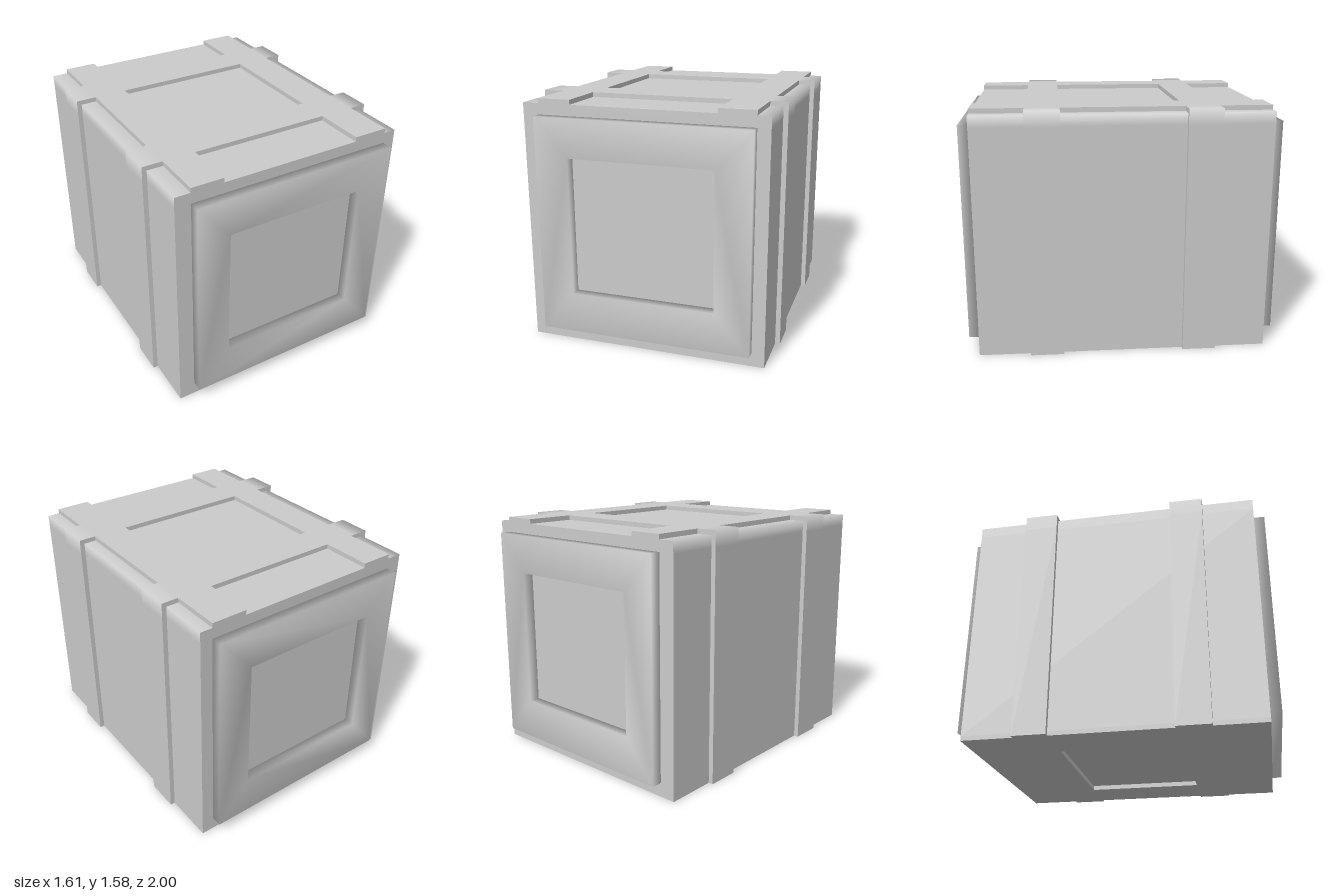
import * as THREE from 'three';
import { mergeVertices } from 'three/addons/utils/BufferGeometryUtils.js';

const material = new THREE.MeshStandardMaterial({ color: 0xcccccc });
const BASE = 0.03, LID = 1.55, TOP = 1.58, END = 0.93;

const polygon = pts => new THREE.Shape(pts.map(([x, y]) => new THREE.Vector2(x, y)));
const rect = (x0, x1, y0, y1) => polygon([[x0, y0], [x1, y0], [x1, y1], [x0, y1]]);

// Rectangle x0..x1, y0..y1 with a rectangular hole, extruded along z
function ring(outer, inner, depth) {
  const shape = rect(...outer);
  shape.holes.push(rect(...inner));
  return new THREE.ExtrudeGeometry(shape, { depth, bevelEnabled: false });
}

// Cross-section swept along z, with soft normals along its two upper edges
function sweep(pts, halfWidth, top, z0, z1) {
  const g = new THREE.ExtrudeGeometry(polygon(pts), { depth: z1 - z0, bevelEnabled: false });
  g.translate(0, 0, z0);
  const p = g.attributes.position, n = g.attributes.normal;
  for (let i = 0; i < p.count; i++) {
    const x = p.getX(i);
    const onEdge = Math.abs(Math.abs(x) - halfWidth) < 1e-4 && Math.abs(p.getY(i) - top) < 1e-4;
    if (onEdge && Math.abs(n.getZ(i)) < 0.5) n.setXYZ(i, Math.sign(x) * Math.SQRT1_2, Math.SQRT1_2, 0);
  }
  return g;
}

// Outer outline, counter-clockwise, with extra points next to the soft edges
const outline = (w, bottom, top) => [
  [w, bottom], [w, 1.48], [w, top], [0.69, top],
  [-0.69, top], [-w, top], [-w, 1.48], [-w, bottom],
];

export function createModel() {
  const group = new THREE.Group();
  const add = (name, geometry) => {
    const mesh = new THREE.Mesh(geometry, material);
    mesh.name = name;
    group.add(mesh);
    return mesh;
  };

  // Crate body
  add('body', sweep(outline(0.775, BASE, LID), 0.775, LID, -END, END));

  // Underside plate with a shallow square recess
  const plate = ring([-0.775, 0.775, -END, END], [-0.465, 0.465, -0.385, 0.385], BASE);
  plate.rotateX(-Math.PI / 2);
  add('basePlate', plate);

  for (const s of [1, -1]) {
    const end = s > 0 ? 'front' : 'back';

    // Band over the lid and down both sides
    const band = [
      ...outline(0.806, 0, TOP),
      [-0.765, 0], [-0.765, 1.54], [0.765, 1.54], [0.765, 0],
    ];
    const [z0, z1] = s > 0 ? [0.385, 0.6] : [-0.6, -0.385];
    add(end + 'Band', sweep(band, 0.806, TOP, z0, z1));

    // Raised end frame with softened shading
    const frame = ring([-0.672, 0.694, 0.09, 1.48], [-0.457, 0.47, 0.35, 1.235], 0.07);
    frame.translate(0, 0, s > 0 ? END : -1);
    frame.deleteAttribute('normal');
    frame.deleteAttribute('uv');
    const soft = mergeVertices(frame);
    soft.computeVertexNormals();
    add(end + 'Frame', soft);
  }

  // Lengthwise lid strips, in pieces between the bands
  for (const [x0, x1] of [[-0.672, -0.46], [0.465, 0.694]]) {
    for (const [z0, z1] of [[-END, -0.6], [-0.385, 0.385], [0.6, END]]) {
      const strip = add('lidStrip', new THREE.BoxGeometry(x1 - x0, TOP - LID, z1 - z0));
      strip.position.set((x0 + x1) / 2, (TOP + LID) / 2, (z0 + z1) / 2);
    }
  }
  return group;
}
